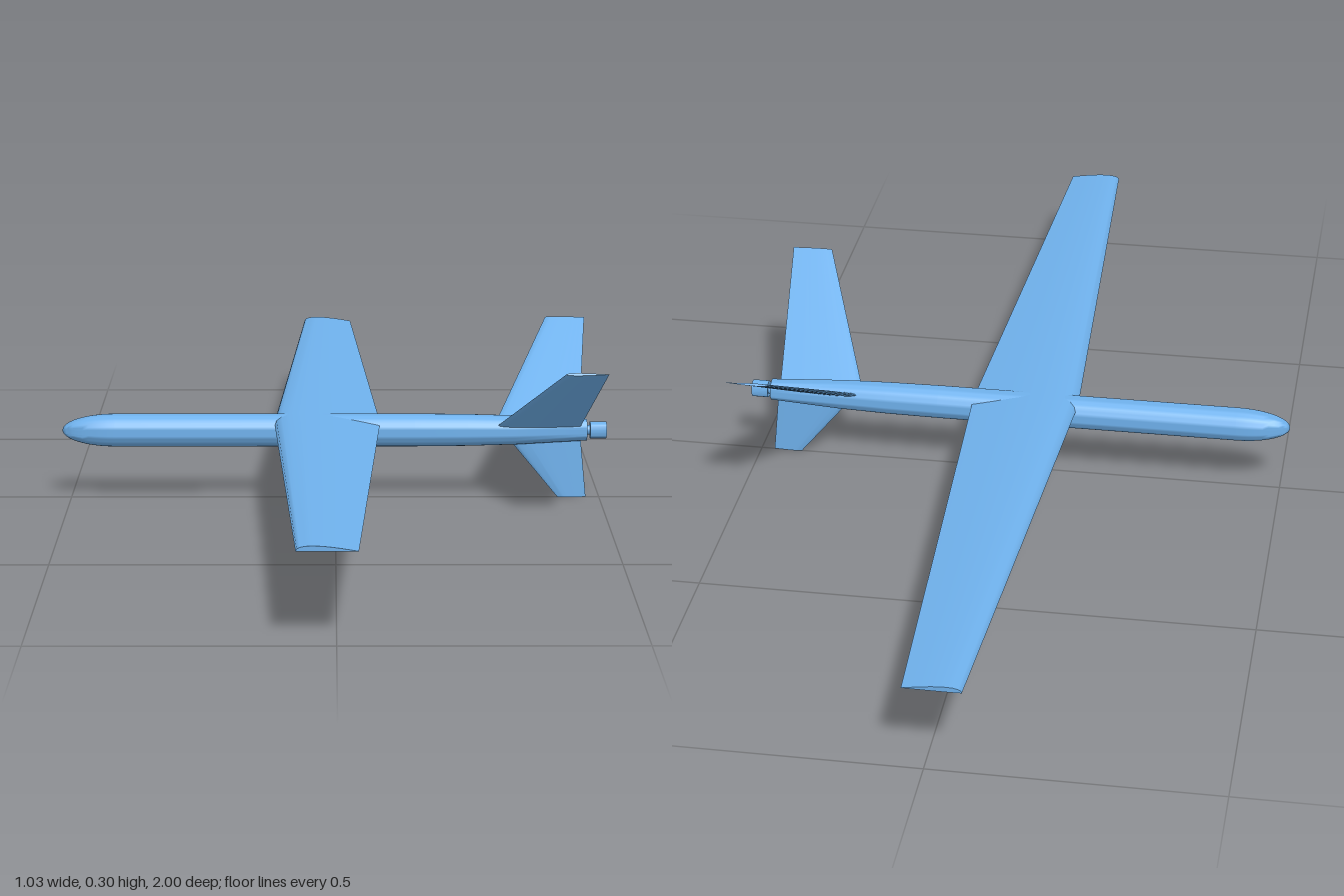
import * as THREE from 'three';
import { toCreasedNormals } from 'three/addons/utils/BufferGeometryUtils.js';

const AXIS_Y = 0.13;
const material = new THREE.MeshStandardMaterial({ color: 0x6fb1ec });

// Closed aerofoil loop: trailing edge, over the top, leading edge, back underneath
function aerofoil(top, bottom, steps = 12) {
  const shape = x => 2.6 * (Math.sqrt(x) - x) * (1 - 0.25 * x) + 0.5 * x * (1 - x);
  const loop = [];
  for (let i = 0; i < 2 * steps; i++) {
    const x = 0.5 + 0.5 * Math.cos((Math.PI * i) / steps);
    loop.push([x, shape(x) * (i <= steps ? top : -bottom)]);
  }
  return loop;
}

// Loft an aerofoil through sections { x, y, z, chord, thick } along a span direction in the yz plane
function loftSurface(name, foil, sections, spanY, spanZ) {
  const n = foil.length, pos = [], index = [];
  for (const s of sections) {
    for (const [u, v] of foil) {
      pos.push(s.x + u * s.chord, s.y + v * s.thick * spanZ, s.z - v * s.thick * spanY);
    }
  }
  for (let k = 0; k < sections.length - 1; k++) {
    for (let i = 0; i < n; i++) {
      const a = k * n + i, b = k * n + ((i + 1) % n);
      index.push(a, b, b + n, a, b + n, a + n);
    }
  }
  const last = (sections.length - 1) * n;
  for (let i = 1; i < n - 1; i++) {
    index.push(0, i + 1, i, last, last + i, last + i + 1);
  }
  const geo = new THREE.BufferGeometry();
  geo.setAttribute('position', new THREE.Float32BufferAttribute(pos, 3));
  geo.setIndex(index);
  const mesh = new THREE.Mesh(toCreasedNormals(geo, 0.7), material);
  mesh.name = name;
  return mesh;
}

// Body of revolution lying along x, from [x, radius] pairs
function turned(name, profile) {
  const geo = new THREE.LatheGeometry(profile.map(([x, r]) => new THREE.Vector2(r, x)), 32);
  geo.rotateZ(-Math.PI / 2);
  const mesh = new THREE.Mesh(toCreasedNormals(geo, 0.7), material);
  mesh.name = name;
  mesh.position.y = AXIS_Y;
  return mesh;
}

export function createModel() {
  const model = new THREE.Group();
  model.name = 'aircraft';

  // Fuselage: elliptical nose, straight tube, tapered tail
  const body = [];
  for (let i = 0; i <= 12; i++) {
    const a = (i / 12) * Math.PI / 2;
    body.push([-0.415 - 0.1 * Math.cos(a), 0.031 * Math.sin(a)]);
  }
  body.push([0.15, 0.031], [0.25, 0.03], [0.34, 0.0275], [0.475, 0.02], [0.475, 0]);
  model.add(turned('fuselage', body));

  // Rear engine hub on a short shaft
  model.add(turned('engineShaft', [[0.46, 0], [0.46, 0.009], [0.485, 0.009], [0.485, 0]]));
  model.add(turned('engineHub', [[0.481, 0], [0.481, 0.016], [0.512, 0.016], [0.512, 0]]));

  // Main wing: one tapered span with slight dihedral
  const tip = { x: -0.065, y: 0.155, chord: 0.1, thick: 0.0125 };
  model.add(loftSurface('wing', aerofoil(1, 0.06), [
    { ...tip, z: -1 },
    { x: -0.115, y: 0.144, z: 0, chord: 0.2, thick: 0.027 },
    { ...tip, z: 1 },
  ], 0, 1));

  // Tail surfaces, each from near the body axis out along its span
  const finFoil = aerofoil(0.5, 0.5);
  const fin = (name, spanY, spanZ, root, end) => {
    const at = ({ s, x, chord, thick }) =>
      ({ x, chord, thick, y: AXIS_Y + s * spanY, z: s * spanZ });
    model.add(loftSurface(name, finFoil, [at(root), at(end)], spanY, spanZ));
  };
  for (const [name, side] of [['leftTailFin', 1], ['rightTailFin', -1]]) {
    fin(name, 0.5, 0.866 * side,
      { s: 0.01, x: 0.3, chord: 0.161, thick: 0.012 },
      { s: 0.328, x: 0.413, chord: 0.077, thick: 0.007 });
  }
  fin('lowerFin', -1, 0,
    { s: 0.01, x: 0.322, chord: 0.141, thick: 0.011 },
    { s: 0.13, x: 0.421, chord: 0.054, thick: 0.006 });

  return model;
}
